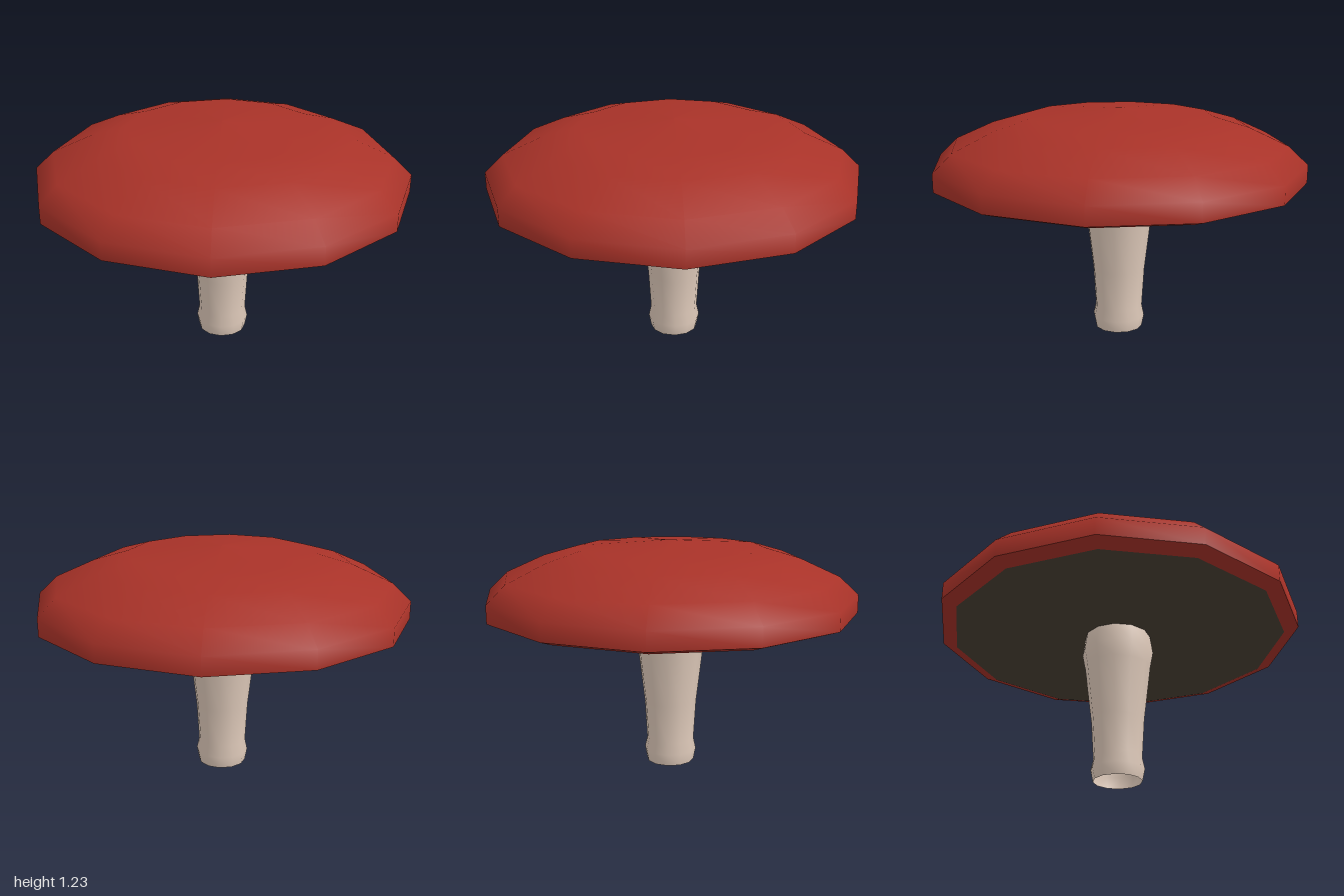
import * as THREE from 'three';

const SIDES = 12;

const mat = (name, color, side = THREE.FrontSide) => {
  const m = new THREE.MeshStandardMaterial({ color, side });
  m.name = name;
  return m;
};

// Revolve a [radius, height] profile, listed so that the outside faces outward
function turned(name, profile, material) {
  const points = profile.map(([r, y]) => new THREE.Vector2(r, y));
  const mesh = new THREE.Mesh(new THREE.LatheGeometry(points, SIDES), material);
  mesh.name = name;
  return mesh;
}

export function createModel() {
  const red = mat('cap red', 0xa83228);
  const cream = mat('stem cream', 0xe0cbbb, THREE.DoubleSide);
  const brown = mat('gill brown', 0x4a4135);

  const mushroom = new THREE.Group();
  mushroom.name = 'mushroom';
  mushroom.add(
    // Domed top with a short upright rim
    turned('cap', [[1, 0.855], [1, 0.95], [0.9, 1.045], [0.69, 1.14], [0.5, 1.195], [0, 1.23]], red),
    // Bevel under the rim, kept separate for a crisp edge
    turned('capLip', [[0.92, 0.828], [1, 0.855]], red),
    // Nearly flat underside
    turned('gills', [[0, 0.835], [0.82, 0.835], [0.92, 0.828]], brown),
    // Stem, open at the foot and swelling at both ends
    turned('stem', [[0.13, 0], [0.143, 0.065], [0.13, 0.125], [0.143, 0.34],
      [0.18, 0.65], [0.196, 0.735], [0.18, 0.84]], cream),
  );
  return mushroom;
}
